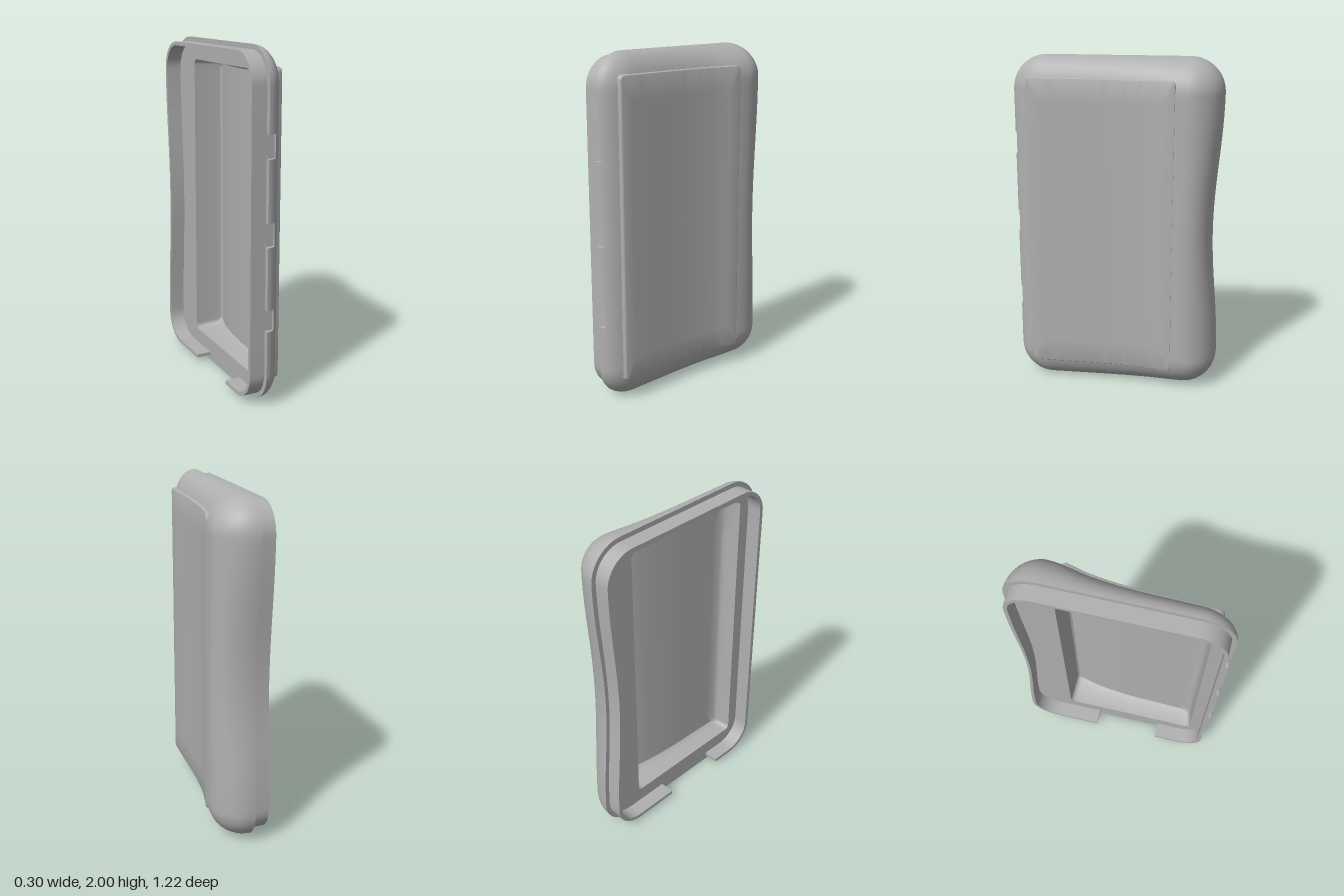
import * as THREE from 'three';
import { toCreasedNormals } from 'three/addons/utils/BufferGeometryUtils.js';

const RIM = -0.06, LIP = -0.15, R = 0.2;
const NOTCHES = [[0.46, 0.58], [0.94, 1.07], [1.42, 1.55]];

// Height of the outer face across the case: a thick grip at -z, thin at +z
const heights = new THREE.CubicInterpolant(
  [-0.42, -0.35, -0.28, -0.2, -0.1, 0, 0.1, 0.2, 0.42, 0.52],
  [0.15, 0.143, 0.127, 0.107, 0.092, 0.082, 0.076, 0.073, 0.067, 0.062], 1);
const H = z => heights.evaluate(z)[0];

// Side samples; the front side gets tight pairs at the notch edges
const even = n => Array.from({ length: n }, (_, i) => i / n);
const frontSteps = [0, ...NOTCHES.flatMap(([a, b]) =>
  [a - 0.001, a, b, b + 0.001].map(y => (y - 0.2) / 1.6))];

// Rounded rectangle in z and y, starting at the middle of the bottom side
function outline(z0, z1, y0, y1, r) {
  const pts = [], mid = (z0 + z1) / 2;
  const side = (a, b, steps) => steps.forEach(t =>
    pts.push([a[0] + (b[0] - a[0]) * t, a[1] + (b[1] - a[1]) * t]));
  const corner = (z, y, start) => {
    for (let i = 0; i < 12; i++) {
      const a = start + i / 12 * Math.PI / 2;
      pts.push([z + r * Math.cos(a), y + r * Math.sin(a)]);
    }
  };
  side([mid, y0], [z1 - r, y0], even(24));
  corner(z1 - r, y0 + r, -Math.PI / 2);
  side([z1, y0 + r], [z1, y1 - r], frontSteps);
  corner(z1 - r, y1 - r, 0);
  side([z1 - r, y1], [z0 + r, y1], even(48));
  corner(z0 + r, y1 - r, Math.PI / 2);
  side([z0, y1 - r], [z0, y0 + r], even(48));
  corner(z0 + r, y0 + r, Math.PI);
  side([z0 + r, y0], [mid, y0], even(24));
  pts.push([mid, y0]);
  return pts;
}

// Case outline moved inwards by d
const inset = d => outline(d - 0.61, 0.61 - d, d, 2 - d, Math.max(R - d, 0.002));

// Finger waist pressed into the -z side
function waist([x, y, z]) {
  const bump = Math.abs(y - 1) < 0.8 ? 0.5 + 0.5 * Math.cos(Math.PI * (y - 1) / 0.8) : 0;
  return [x, y, z + 0.045 * bump * Math.min(1, Math.max(0, -z / 0.6)) ** 4];
}

const ring = (pts, x) => pts.map(([z, y]) => [typeof x === 'function' ? x(z) : x, y, z]);

// Rings shrinking to the centre, following the curved face
function fill(pts, x) {
  const cz = (pts[0][0]), cy = 1.005;
  return [0.85, 0.7, 0.55, 0.4, 0.25, 0.1, 0].map(k =>
    ring(pts.map(([z, y]) => [cz + (z - cz) * k, cy + (y - cy) * k]), x));
}

// Skin through rings of equal length
function loft(name, rings, material, crease = 0.6) {
  const n = rings[0].length, index = [];
  for (let j = 0; j < rings.length - 1; j++) {
    for (let i = 0; i < n - 1; i++) {
      const a = j * n + i, b = a + n;
      index.push(a, a + 1, b, a + 1, b + 1, b);
    }
  }
  let g = new THREE.BufferGeometry();
  g.setAttribute('position', new THREE.Float32BufferAttribute(rings.flat(2), 3));
  g.setIndex(index);
  g = toCreasedNormals(g, crease);
  const mesh = new THREE.Mesh(g, material);
  mesh.name = name;
  return mesh;
}

export function createModel() {
  const group = new THREE.Group();
  group.name = 'cover';
  const grey = new THREE.MeshStandardMaterial({ color: 0xb0b0b0, side: THREE.DoubleSide });
  grey.name = 'grey plastic';

  // Latch notches cut into the +z rim
  const notch = p => {
    const cut = p[0] < -0.0145 && p[2] > 0.5 && NOTCHES.some(([a, b]) => p[1] > a - 5e-4 && p[1] < b + 5e-4);
    return cut ? [p[0], p[1], Math.min(p[2], 0.585)] : p;
  };

  // Rounded outer shell, left open under the panel
  const angles = [0, 0.12, 0.25, 0.368, 0.385, 0.5, 0.65, 0.8, 0.95, 1.1, 1.25, 1.4, Math.PI / 2];
  const shell = angles.map(a => ring(inset(R * (1 - Math.cos(a))),
    z => RIM + (H(z) + 0.06) * Math.sin(a)).map(notch).map(waist));
  [0.23, 0.26, 0.3].forEach(d => shell.push(ring(inset(d), H).map(waist)));
  group.add(loft('outerShell', shell, grey));

  // Slightly raised face panel with a soft edge
  const panelRim = d => outline(-0.34 + d, 0.52 - d, 0.125 + d, 1.885 - d, 0.03 - d);
  const top = z => H(z) + 0.003;
  group.add(loft('facePanel', [
    ring(panelRim(0), z => H(z) - 0.03),
    ring(panelRim(0.001), z => H(z) - 0.006),
    ring(panelRim(0.006), z => H(z) + 0.001),
    ring(panelRim(0.012), top),
    ...fill(panelRim(0.012), top),
  ], grey));

  // Flat flange around the cavity
  const opening = outline(-0.34, 0.49, 0.14, 1.87, 0.03);
  group.add(loft('flange', [
    shell[0],
    ring(inset(0.05), RIM).map(waist),
    ring(opening, RIM),
  ], grey));

  // Recessed cavity with sloped walls
  const floorEdge = outline(-0.32, 0.45, 0.17, 1.84, 0.03);
  const floor = z => H(z) - 0.02;
  group.add(loft('cavity', [
    ring(opening, RIM),
    ring(outline(-0.335, 0.475, 0.15, 1.86, 0.03), z => H(z) - 0.05),
    ring(outline(-0.33, 0.465, 0.16, 1.85, 0.03), z => H(z) - 0.03),
    ring(floorEdge, floor),
    ...fill(floorEdge, floor),
  ], grey));

  // Locating lip, interrupted at the bottom
  const outer = inset(0.028), inner = inset(0.05);
  const arc = (pts, x) => ring(pts.filter((_, i) =>
    !(outer[i][1] < 0.1 && outer[i][0] > -0.12 && outer[i][0] < 0.26)), x).map(waist);
  const lip = [arc(outer, RIM + 0.005), arc(outer, LIP), arc(inner, LIP), arc(inner, RIM + 0.005)];
  group.add(loft('lip', lip, grey));

  // End caps of the lip
  [0, lip[0].length - 1].forEach(i =>
    group.add(loft('lipEnd', [[lip[0][i], lip[1][i]], [lip[3][i], lip[2][i]]], grey)));

  return group;
}
